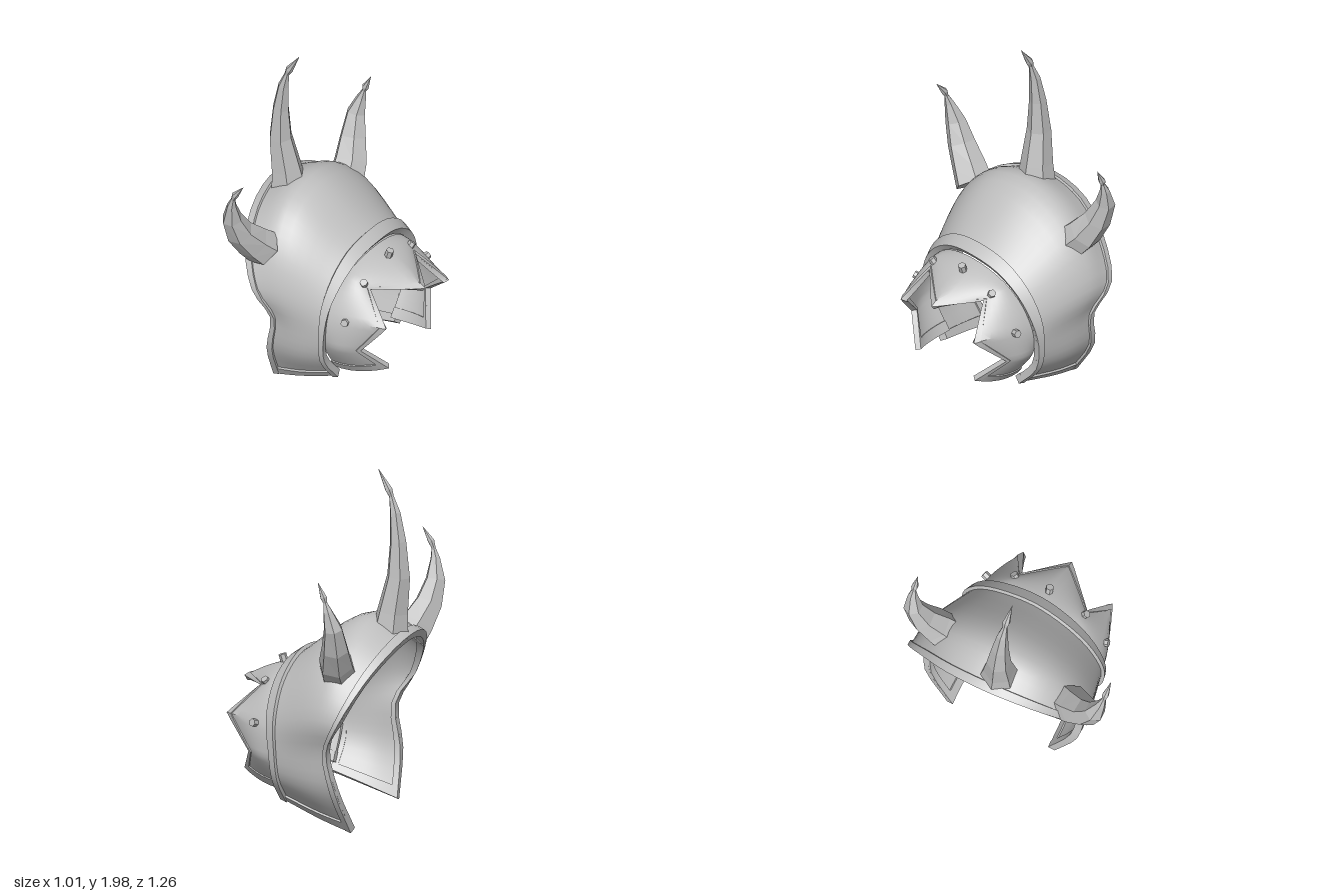
import * as THREE from 'three';
import { toCreasedNormals } from 'three/addons/utils/BufferGeometryUtils.js';

const steel = new THREE.MeshStandardMaterial({ color: 0xbfbfbf, side: THREE.DoubleSide });
steel.name = 'steel';

const vecs = (list) => list.map((p) => new THREE.Vector3(...p));
const spline = (list) => new THREE.CatmullRomCurve3(vecs(list));

// Piecewise straight curve, corners evenly spaced in t
function polyline(list) {
  const pts = vecs(list);
  return {
    getPoint(t) {
      const s = t * (pts.length - 1);
      const i = Math.min(Math.floor(s), pts.length - 2);
      return pts[i].clone().lerp(pts[i + 1], s - i);
    },
  };
}

function geometryFrom(positions, crease) {
  const g = new THREE.BufferGeometry();
  g.setAttribute('position', new THREE.Float32BufferAttribute(positions, 3));
  if (crease) return toCreasedNormals(g, crease);
  g.computeVertexNormals();
  return g;
}

// Closed plate over part of surface(t, v), between offsets hi and lo along its normal
function plate(surface, [t0, t1, nt], [v0, v1, nv], hi, lo, crease = 0.6) {
  const e = 0.004;
  const cl = (x) => Math.min(1, Math.max(0, x));
  const outer = [], inner = [];
  for (let i = 0; i <= nt; i++) {
    outer.push([]);
    inner.push([]);
    for (let j = 0; j <= nv; j++) {
      const t = t0 + ((t1 - t0) * i) / nt, v = v0 + ((v1 - v0) * j) / nv;
      const dt = surface(cl(t + e), v).sub(surface(cl(t - e), v));
      const dv = surface(t, cl(v + e)).sub(surface(t, cl(v - e)));
      const n = dv.cross(dt).normalize();
      const p = surface(t, v);
      outer[i].push(p.clone().addScaledVector(n, hi));
      inner[i].push(p.clone().addScaledVector(n, lo));
    }
  }
  const out = [];
  const quad = (a, b, c, d) => {
    for (const p of [a, b, c, b, d, c]) out.push(p.x, p.y, p.z);
  };
  for (let i = 0; i < nt; i++) {
    for (let j = 0; j < nv; j++) {
      quad(outer[i][j], outer[i][j + 1], outer[i + 1][j], outer[i + 1][j + 1]);
      quad(inner[i][j], inner[i + 1][j], inner[i][j + 1], inner[i + 1][j + 1]);
    }
    quad(outer[i][0], outer[i + 1][0], inner[i][0], inner[i + 1][0]);
    quad(outer[i][nv], inner[i][nv], outer[i + 1][nv], inner[i + 1][nv]);
  }
  for (let j = 0; j < nv; j++) {
    quad(outer[0][j], inner[0][j], outer[0][j + 1], inner[0][j + 1]);
    quad(outer[nt][j], outer[nt][j + 1], inner[nt][j], inner[nt][j + 1]);
  }
  return geometryFrom(out, crease);
}

// Faceted horn: each entry is x, y, z, radius
function horn(rings, sides = 6) {
  const centre = rings.map((r) => new THREE.Vector3(r[0], r[1], r[2]));
  const loops = rings.map((r, i) => {
    const tan = centre[Math.min(i + 1, rings.length - 1)].clone().sub(centre[Math.max(i - 1, 0)]).normalize();
    const a = new THREE.Vector3(1, 0, 0).addScaledVector(tan, -tan.x).normalize();
    const b = tan.clone().cross(a);
    return Array.from({ length: sides }, (_, k) => {
      const w = (k / sides) * Math.PI * 2;
      return centre[i].clone().addScaledVector(a, Math.cos(w) * r[3]).addScaledVector(b, Math.sin(w) * r[3]);
    });
  });
  loops.unshift(Array(sides).fill(centre[0]));
  const out = [];
  for (let i = 0; i < loops.length - 1; i++) {
    for (let k = 0; k < sides; k++) {
      const m = (k + 1) % sides, lo = loops[i], up = loops[i + 1];
      for (const p of [lo[k], lo[m], up[k], lo[m], up[m], up[k]]) out.push(p.x, p.y, p.z);
    }
  }
  return geometryFrom(out);
}

export function createModel() {
  const group = new THREE.Group();
  const add = (name, geometry) => {
    const mesh = new THREE.Mesh(geometry, steel);
    mesh.name = name;
    group.add(mesh);
    return mesh;
  };

  // Main dome: three arches, each running from the left foot over the top to the right foot
  const arches = [
    spline([[-0.30, 0.02, 0.27], [-0.27, 0.28, 0.39], [-0.23, 0.52, 0.42], [-0.32, 0.70, 0.47], [-0.41, 0.90, 0.39],
      [-0.47, 1.02, 0.22], [-0.50, 1.07, -0.03], [-0.475, 1.02, -0.28], [-0.41, 0.90, -0.45], [-0.32, 0.70, -0.59],
      [-0.23, 0.52, -0.54], [-0.27, 0.28, -0.51], [-0.30, 0.02, -0.36]]),
    spline([[-0.12, 0.07, 0.27], [-0.10, 0.28, 0.39], [-0.10, 0.50, 0.42], [-0.17, 0.71, 0.44], [-0.22, 0.95, 0.36],
      [-0.25, 1.11, 0.20], [-0.25, 1.17, -0.04], [-0.24, 1.11, -0.27], [-0.21, 0.96, -0.46], [-0.17, 0.71, -0.57],
      [-0.10, 0.50, -0.52], [-0.10, 0.28, -0.49], [-0.12, 0.07, -0.35]]),
    spline([[0.10, 0.14, 0.25], [0.08, 0.30, 0.36], [0.09, 0.47, 0.385], [0.10, 0.62, 0.36], [0.125, 0.76, 0.27],
      [0.15, 0.85, 0.14], [0.175, 0.88, -0.03], [0.18, 0.85, -0.20], [0.18, 0.76, -0.34], [0.17, 0.62, -0.43],
      [0.15, 0.47, -0.455], [0.14, 0.30, -0.43], [0.14, 0.15, -0.31]]),
  ];
  const dome = (t, v) => new THREE.CatmullRomCurve3(arches.map((c) => c.getPoint(t))).getPoint(v);
  add('mainShell', plate(dome, [0, 1, 48], [0, 1, 12], 0, -0.02, 0.8));
  add('rearRim', plate(dome, [0, 1, 36], [0, 0.1, 1], 0.014, -0.03));
  add('frontBand', plate(dome, [0, 1, 36], [0.925, 1, 1], 0.02, -0.025));
  add('leftFootRim', plate(dome, [0, 0.018, 1], [0, 1, 8], 0.012, -0.028));
  add('rightFootRim', plate(dome, [0.982, 1, 1], [0, 1, 8], 0.012, -0.028));

  // Jagged front plate emerging from beneath the band
  const root = spline([[0.07, 0.19, 0.25], [0.07, 0.40, 0.36], [0.08, 0.58, 0.355], [0.12, 0.78, 0.22],
    [0.16, 0.85, -0.03], [0.17, 0.78, -0.28], [0.15, 0.58, -0.42], [0.13, 0.40, -0.42], [0.12, 0.19, -0.29]]);
  const jag = polyline([[0.39, 0.26, 0.20], [0.28, 0.41, 0.32], [0.42, 0.58, 0.28], [0.27, 0.74, 0.20],
    [0.50, 0.705, 0], [0.31, 0.74, -0.21], [0.48, 0.58, -0.28], [0.31, 0.41, -0.37], [0.40, 0.26, -0.22]]);
  const visor = (t, v) => {
    const p = root.getPoint(t).lerp(jag.getPoint(t), v);
    const bulge = 0.1 * v * (1 - v);
    const out = new THREE.Vector3(0, p.y - 0.42, p.z + 0.03).normalize();
    return p.addScaledVector(out, bulge);
  };
  add('frontPlate', plate(visor, [0, 1, 48], [0, 1, 8], 0, -0.018));
  add('jaggedRim', plate(visor, [0, 1, 48], [0.9, 1, 1], 0.007, -0.025));
  add('frontPlateLeftFoot', plate(visor, [0, 0.03, 1], [0, 1, 6], 0.007, -0.025));
  add('frontPlateRightFoot', plate(visor, [0.97, 1, 1], [0, 1, 6], 0.007, -0.025));

  // Hexagonal rivets: position and outward direction
  const rivets = [
    [0.20, 0.585, 0.345, 0.2, 0.3, 1], [0.235, 0.77, 0.205, 0.2, 0.85, 0.6], [0.26, 0.845, -0.02, 0.3, 1, 0],
    [0.27, 0.77, -0.23, 0.3, 0.85, -0.6], [0.265, 0.585, -0.40, 0.3, 0.3, -1],
  ];
  const rivetGeometry = toCreasedNormals(new THREE.CylinderGeometry(0.022, 0.022, 0.05, 6), 0.3);
  for (const [x, y, z, ...dir] of rivets) {
    const rivet = add('rivet', rivetGeometry);
    rivet.position.set(x, y, z);
    rivet.quaternion.setFromUnitVectors(new THREE.Vector3(0, 1, 0), new THREE.Vector3(...dir).normalize());
  }

  // Three curved horns, pinched just below their pointed tips
  add('centreHorn', horn([[-0.38, 1.10, -0.015, 0.105], [-0.39, 1.20, -0.01, 0.09], [-0.42, 1.40, 0, 0.068],
    [-0.415, 1.60, 0.005, 0.048], [-0.395, 1.76, 0.01, 0.031], [-0.37, 1.85, 0.015, 0.014],
    [-0.355, 1.885, 0.015, 0.022], [-0.29, 1.995, 0.02, 0.001]]));
  add('leftHorn', horn([[-0.31, 0.92, 0.37, 0.11], [-0.34, 0.985, 0.43, 0.1], [-0.375, 1.09, 0.515, 0.08],
    [-0.39, 1.21, 0.57, 0.058], [-0.375, 1.32, 0.60, 0.028], [-0.36, 1.375, 0.61, 0.012],
    [-0.345, 1.41, 0.613, 0.02], [-0.29, 1.485, 0.62, 0.001]]));
  add('rightHorn', horn([[-0.24, 0.95, -0.41, 0.105], [-0.25, 1.01, -0.465, 0.098], [-0.275, 1.12, -0.535, 0.078],
    [-0.285, 1.25, -0.585, 0.055], [-0.26, 1.35, -0.60, 0.028], [-0.245, 1.40, -0.60, 0.012],
    [-0.235, 1.43, -0.60, 0.02], [-0.20, 1.51, -0.597, 0.001]]));

  return group;
}
